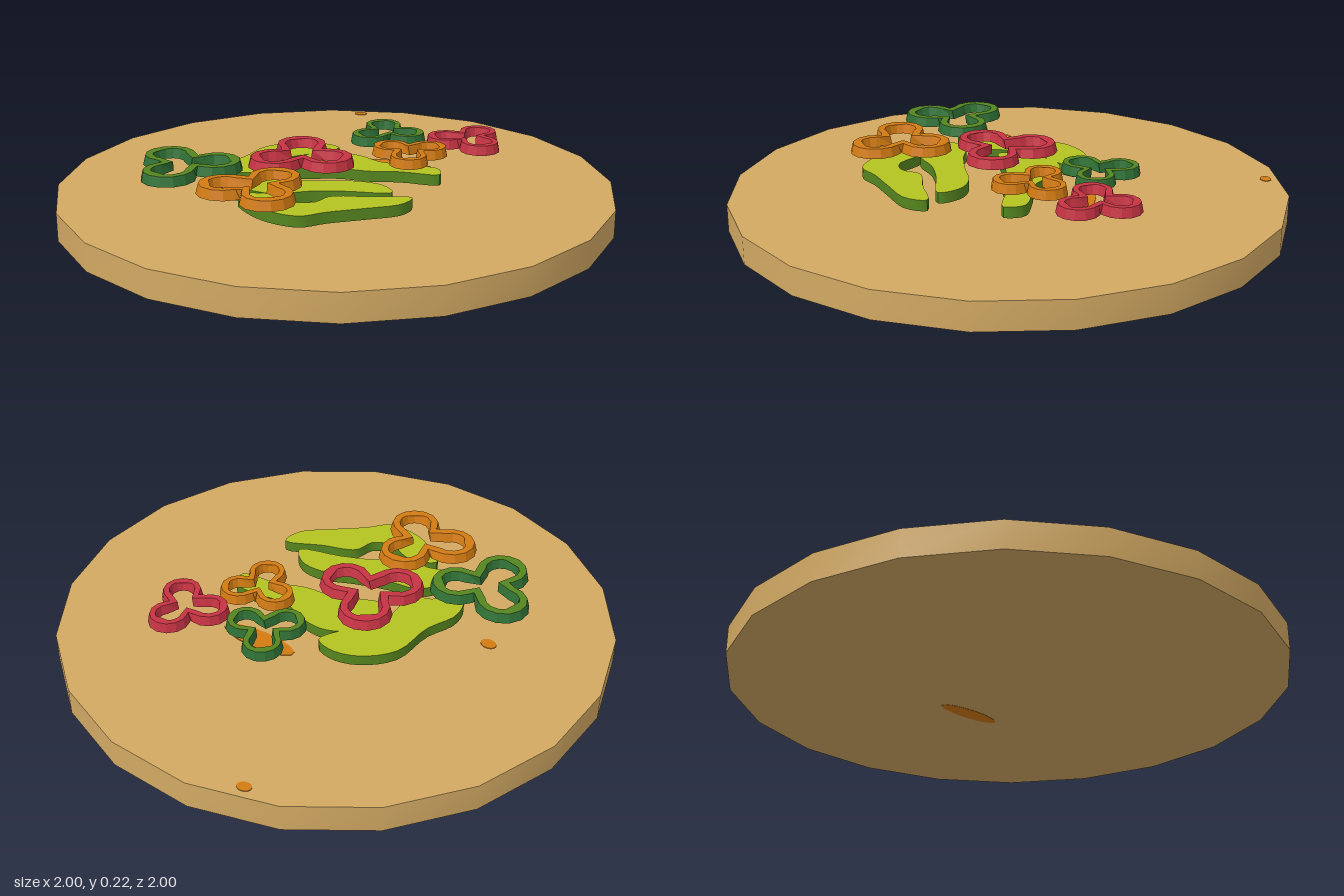
import * as THREE from 'three';
import { toCreasedNormals } from 'three/addons/utils/BufferGeometryUtils.js';

const material = (name, color) => new THREE.MeshStandardMaterial({ name, color });

export function createModel() {
  const model = new THREE.Group();
  const wood = material('wood', 0xd2a963);
  const lime = material('lime flesh', 0xb4c322);
  const green = material('green skin', 0x55851f);
  const darkGreen = material('dark green skin', 0x2f7035);
  const red = material('red pepper', 0xc63343);
  const orange = material('orange pepper', 0xd27a12);

  const add = (name, geometry, mat) => {
    const mesh = new THREE.Mesh(geometry, mat);
    mesh.name = name;
    model.add(mesh);
    return mesh;
  };

  // Round board
  add('board', toCreasedNormals(new THREE.CylinderGeometry(1, 1, 0.1, 20), 0.6), wood).position.y = 0.05;

  // Flat slices with wavy outlines, points given as [x, z]
  const slices = {
    leftSlice: [[-0.13, -0.21], [-0.21, -0.22], [-0.3, -0.17], [-0.365, -0.06], [-0.35, 0.1], [-0.37, 0.23],
      [-0.33, 0.32], [-0.27, 0.34], [-0.25, 0.25], [-0.18, 0.2], [-0.2, 0.1], [-0.21, 0], [-0.15, -0.12]],
    backSlice: [[-0.16, -0.11], [-0.1, -0.16], [0, -0.17], [0.1, -0.15], [0.2, -0.18], [0.31, -0.2], [0.35, -0.14],
      [0.22, -0.09], [0.12, -0.03], [0.02, 0], [-0.08, 0.07], [-0.16, 0.11], [-0.18, 0]],
    middleSlice: [[0.32, 0.12], [0.25, 0.07], [0.16, 0.08], [0.05, 0.15], [-0.06, 0.21], [-0.16, 0.25],
      [-0.2, 0.32], [-0.17, 0.41], [-0.1, 0.38], [0, 0.36], [0.08, 0.27], [0.18, 0.2]],
    frontSlice: [[0.4, 0.12], [0.41, 0.2], [0.33, 0.31], [0.25, 0.41], [0.2, 0.49], [0.1, 0.51], [0, 0.49],
      [-0.1, 0.43], [-0.02, 0.37], [0.1, 0.39], [0.16, 0.35], [0.17, 0.27], [0.28, 0.2]],
  };
  for (const [name, points] of Object.entries(slices)) {
    const curve = new THREE.CatmullRomCurve3(points.map(([x, z]) => new THREE.Vector3(x, -z, 0)), true, 'centripetal');
    const shape = new THREE.Shape(curve.getPoints(48).slice(0, -1).map((p) => new THREE.Vector2(p.x, p.y)));
    const geometry = new THREE.ExtrudeGeometry(shape, { depth: 0.04, bevelEnabled: false }).rotateX(-Math.PI / 2);
    add(name, toCreasedNormals(geometry, 0.7), [lime, green]).position.y = 0.12;
  }

  // Three-lobed pepper ring: unit lobe distance, tapered towards the top
  const third = (Math.PI * 2) / 3;
  const lobeOutline = (radius, reach, notch) => {
    const points = [];
    for (let lobe = 0; lobe < 3; lobe++) {
      const turn = lobe * third;
      const origin = new THREE.Vector2();
      for (let i = 0; i <= 9; i++) {
        const a = reach * (i / 4.5 - 1);
        points.push(new THREE.Vector2(1 + radius * Math.cos(a), radius * Math.sin(a)).rotateAround(origin, turn));
      }
      points.push(new THREE.Vector2(notch, 0).rotateAround(origin, turn + third / 2));
    }
    return points;
  };
  const ringGeometry = (size) => {
    const shape = new THREE.Shape(lobeOutline(0.9, 2.2, 0.75));
    shape.holes.push(new THREE.Path(lobeOutline(0.48, 2.15, 0.36)));
    const geometry = new THREE.ExtrudeGeometry(shape, { depth: 1, bevelEnabled: false });
    const position = geometry.attributes.position;
    for (let i = 0; i < position.count; i++) {
      if (position.getZ(i) < 0.5) continue;
      const x = position.getX(i), y = position.getY(i);
      const turn = Math.round(Math.atan2(y, x) / third) * third;
      const cx = Math.cos(turn), cy = Math.sin(turn);
      const r = Math.hypot(x - cx, y - cy);
      const k = (0.69 + (r - 0.69) * 0.6) / r;
      position.setXY(i, cx + (x - cx) * k, cy + (y - cy) * k);
    }
    geometry.scale(size, size, 0.035).rotateX(-Math.PI / 2);
    geometry.computeVertexNormals();
    return geometry;
  };

  // name, x, z, size, direction of one lobe in degrees, cap and side colours
  const rings = [
    ['largeRedRing', -0.1, 0.07, 0.108, 6, red, red],
    ['largeOrangeRing', -0.013, 0.447, 0.106, 90, orange, orange],
    ['largeGreenRing', -0.37, 0.395, 0.108, 40, green, darkGreen],
    ['smallGreenRing', -0.005, -0.345, 0.08, 12, green, darkGreen],
    ['smallRedRing', 0.288, -0.45, 0.082, 92, red, red],
    ['smallOrangeRing', 0.197, -0.185, 0.078, 180, orange, orange],
  ];
  for (const [name, x, z, size, degrees, cap, side] of rings) {
    const ring = add(name, ringGeometry(size), [cap, side]);
    ring.position.set(x, 0.185, z);
    ring.rotation.y = THREE.MathUtils.degToRad(degrees);
  }

  // Thin orange stains: name, x, y, z, half length, half width, turn
  const stains = [
    ['centreStain', 0.07, 0.101, -0.31, 0.15, 0.045, 0.2],
    ['undersideStain', 0.1, 0.0005, -0.26, 0.13, 0.035, -0.2],
    ['backStain', -0.45, 0.101, -0.83, 0.026, 0.02, 0.4],
    ['leftStain', -0.51, 0.101, 0.25, 0.03, 0.024, 0],
  ];
  for (const [name, x, y, z, length, width, turn] of stains) {
    const stain = add(name, new THREE.CylinderGeometry(1, 1, 0.003, 14), orange);
    stain.scale.set(length, 1, width);
    stain.position.set(x, y, z);
    stain.rotation.y = turn;
  }
  return model;
}
